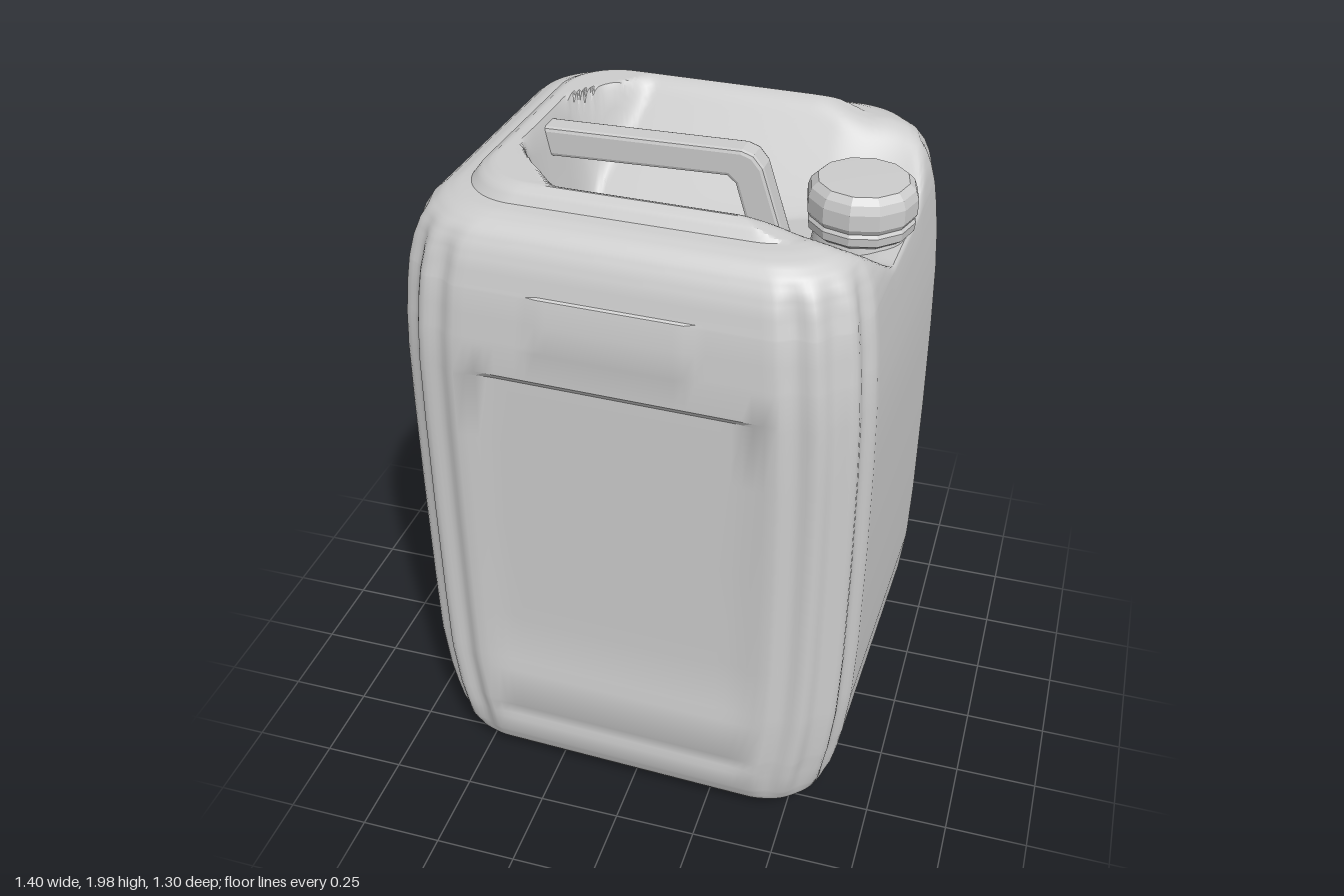
import * as THREE from 'three';
import { toCreasedNormals } from 'three/addons/utils/BufferGeometryUtils.js';

const grey = new THREE.MeshStandardMaterial({ color: 0xcccccc });
const { smoothstep, lerp, clamp } = THREE.MathUtils;
const ARC = 24, SIDE = 30; // points per corner and per straight side

function add(parent, name, geometry, x = 0, y = 0, z = 0) {
  const m = new THREE.Mesh(geometry, grey);
  m.name = name;
  m.position.set(x, y, z);
  parent.add(m);
  return m;
}

// Minimum of two heights with a softened edge
function softMin(a, b, k) {
  const h = Math.max(k - Math.abs(a - b), 0) / k;
  return Math.min(a, b) - h * h * k / 4;
}

// Well and spout notch in the top: open towards +x, walled on the other sides
function wellHeight(x, z) {
  const a = Math.abs(z), along = clamp((x + 0.4) / 0.9, 0, 1.1);
  const floor = 1.6 + 0.17 * along;
  const start = 0.05 + 0.1 * along;
  const u = Math.max(0, (a - start) / (0.385 - start + 0.07 * smoothstep(x, 0.35, 0.6)));
  const v = Math.max(0, (-x - 0.32 + 0.1 * smoothstep(a, 0.15, 0.38)) / 0.1);
  return floor + (2 - floor) * Math.hypot(u, v) ** 1.2;
}

// Raised rim fades out beside the spout
const rimHeight = (x) => 1.955 + 0.045 * (1 - smoothstep(x, 0.27, 0.45));

// Recess under the base: two long slots, a middle bar and a mouth at +x
function baseHeight(x, z) {
  const a = Math.abs(z);
  const mouth = smoothstep(x, 0.25, 0.45);
  const bay = smoothstep(x, -0.49, -0.41) * (1 - smoothstep(a, 0.26 - 0.18 * mouth, 0.35));
  const slot = smoothstep(a, 0.04, 0.11) * (1 - smoothstep(x, 0.22, 0.36));
  return 0.026 - 0.014 * x + bay * (0.02 + 0.035 * Math.max(slot, mouth));
}

// Label panel, small raised plate and lower dent on the front and back
function faceRelief(x, y) {
  const a = Math.abs(x);
  const fade = 1 - smoothstep(a, 0.34, 0.47);
  if (y > 0.45 && y < 1.52) return -0.01 * fade - 0.006 * smoothstep(y, 1.3, 1.5);
  if (y > 1.62 && y < 1.78 && a < 0.22) return 0.005;
  if (y > 0.22 && y < 0.28) return -0.008 * fade;
  return 0;
}

// One rounded-rectangle ring with ribbed corners
function ring(y, hx, hz, r) {
  const pts = [];
  const ribs = 0.019 * smoothstep(y, 0.06, 0.2) * (1 - smoothstep(y, 1.82, 1.95));
  const corner = (q, t) => {
    const a = (q + t) * Math.PI / 2;
    const sx = q === 0 || q === 3 ? 1 : -1, sz = q < 2 ? 1 : -1;
    const rr = r - ribs * (1 - Math.cos(t * Math.PI * 6)) / 2;
    return [sx * (hx - r) + rr * Math.cos(a), sz * (hz - r) + rr * Math.sin(a)];
  };
  for (let q = 0; q < 4; q++) {
    for (let i = 0; i <= ARC; i++) pts.push(corner(q, i / ARC));
    const p = corner(q, 1), n = corner((q + 1) % 4, 0);
    for (let k = 1; k < SIDE; k++) {
      const x = lerp(p[0], n[0], k / SIDE);
      let z = lerp(p[1], n[1], k / SIDE);
      if (q % 2 === 0) z += Math.sign(z) * faceRelief(x, y);
      pts.push([x, z]);
    }
  }
  return pts;
}

function bodyGeometry() {
  // Outer profile: y, half width, half depth, corner radius
  const outer = [
    [0.01, 0.5, 0.47, 0.17], [0.022, 0.545, 0.52, 0.18], [0.045, 0.582, 0.565, 0.19], [0.085, 0.61, 0.597, 0.2],
    [0.14, 0.63, 0.62, 0.21], [0.21, 0.645, 0.632, 0.22], [0.23, 0.648, 0.633, 0.22], [0.27, 0.655, 0.635, 0.22],
    [0.285, 0.658, 0.635, 0.22], [0.43, 0.674, 0.635, 0.22], [0.47, 0.676, 0.634, 0.22], [0.65, 0.682, 0.628, 0.22],
    [1, 0.684, 0.626, 0.22], [1.3, 0.682, 0.626, 0.22], [1.505, 0.677, 0.628, 0.22], [1.525, 0.675, 0.628, 0.22],
    [1.615, 0.67, 0.627, 0.22], [1.63, 0.668, 0.625, 0.22], [1.7, 0.662, 0.62, 0.22], [1.77, 0.652, 0.61, 0.215],
    [1.785, 0.65, 0.606, 0.215], [1.84, 0.637, 0.592, 0.21], [1.88, 0.62, 0.575, 0.2], [1.915, 0.598, 0.553, 0.195],
    [1.94, 0.568, 0.525, 0.19], [1.953, 0.535, 0.49, 0.18], [1.957, 0.505, 0.455, 0.17], [1.985, 0.485, 0.435, 0.165],
    [2, 0.46, 0.41, 0.16], [2, 0.425, 0.38, 0.15],
  ];
  const rows = [];
  for (let i = 0; i < 32; i++) { // base, centre to edge
    const s = i / 32;
    rows.push([0.01, 0.5 * s, 0.47 * s, 0.17 * s]);
  }
  outer.forEach((row, i) => { // sides, with finer rings near base and shoulder
    const next = outer[i + 1] ?? row;
    const steps = i < outer.length - 1 && (row[0] < 0.1 || row[0] > 1.75) ? 3 : 1;
    for (let k = 0; k < steps; k++) rows.push(row.map((v, c) => lerp(v, next[c], k / steps)));
  });
  for (let i = 39; i >= 0; i--) { // top, edge to centre
    const s = i / 40;
    rows.push([2, 0.425 * s, 0.38 * s, 0.15 * s]);
  }
  const pos = [], index = [];
  let n = 0;
  rows.forEach(([y, hx, hz, r], i) => {
    const pts = ring(y, hx, hz, r);
    n = pts.length;
    pts.forEach(([x, z], j) => {
      let h = y;
      if (y > 1.6) h = softMin(Math.min(y, y > 1.957 ? rimHeight(x) : 2), wellHeight(x, z), 0.04);
      if (y < 0.2) h = Math.max(y, baseHeight(x, z));
      pos.push(x, h, z);
      if (i === rows.length - 1) return;
      const a = i * n + j, c = i * n + (j + 1) % n;
      index.push(a, a + n, c, c, a + n, c + n);
    });
  });
  const g = new THREE.BufferGeometry();
  g.setAttribute('position', new THREE.Float32BufferAttribute(pos, 3));
  g.setIndex(index);
  return toCreasedNormals(g, 0.6);
}

export function createModel() {
  const group = new THREE.Group();
  group.name = 'jerrycan';
  const can = new THREE.Group();
  can.name = 'canister';
  can.rotation.y = -0.035; // sits slightly turned
  group.add(can);

  add(can, 'body', bodyGeometry());

  // Carrying handle: level bar with a sloping leg down to the well floor
  const bar = new THREE.Shape([
    [-0.45, 1.965], [0.17, 1.98], [0.2, 1.97], [0.225, 1.94], [0.31, 1.68], [0.23, 1.68],
    [0.165, 1.895], [0.135, 1.92], [-0.45, 1.9],
  ].map(([x, y]) => new THREE.Vector2(x, y)));
  const handle = new THREE.ExtrudeGeometry(bar, {
    depth: 0.055, bevelEnabled: true, bevelSize: 0.012, bevelThickness: 0.012, bevelSegments: 2,
  });
  add(can, 'handle', handle, 0, 0, -0.0455);

  // Spout neck and faceted screw cap
  const spout = new THREE.Group();
  spout.name = 'spout';
  spout.position.set(0.512, 0, -0.015);
  can.add(spout);
  add(spout, 'neck', new THREE.CylinderGeometry(0.125, 0.15, 0.14, 32), 0, 1.75, 0);
  const profile = [[0, 1.795], [0.13, 1.795], [0.15, 1.81], [0.153, 1.835], [0.147, 1.845], [0.156, 1.86],
    [0.156, 1.905], [0.147, 1.93], [0.128, 1.948], [0, 1.952]].map(([x, y]) => new THREE.Vector2(x, y));
  add(spout, 'cap', toCreasedNormals(new THREE.LatheGeometry(profile, 12), 0.3));
  return group;
}
